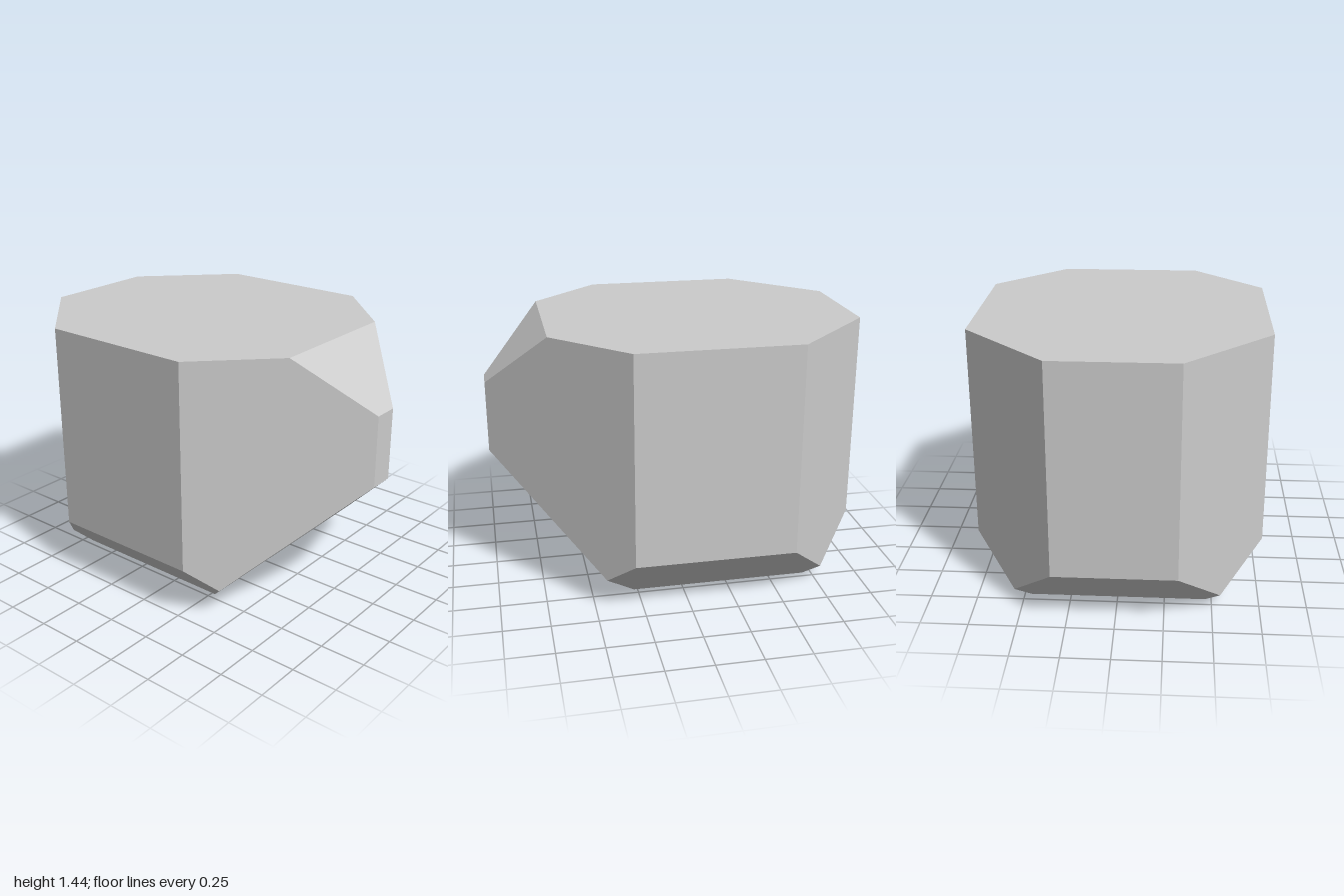
import * as THREE from 'three';
import { ConvexGeometry } from 'three/addons/geometries/ConvexGeometry.js';

// Corners of the +x half; the other half is mirrored
const halfCorners = [
  // top outline
  [0.39, 1.44, 0.68], [0.765, 1.44, 0.305], [0.765, 1.44, -0.555], [0.32, 1.44, -1],
  // narrow front facet
  [0.07, 1.12, 1], [0.07, 0.73, 1],
  // lower ends of the upright walls
  [0.765, 0.3, 0.305], [0.765, 0.3, -0.555], [0.32, 0.3, -1],
  // corners where the bottom bevels meet the diagonal walls
  [0.6325, 0.1675, 0.4375], [0.5425, 0.0775, -0.7775],
  // base
  [0.465, 0, 0.27], [0.465, 0, -0.7],
];

export function createModel() {
  const group = new THREE.Group();
  group.name = 'facetedBlock';

  const points = halfCorners.flatMap(([x, y, z]) => [
    new THREE.Vector3(x, y, z),
    new THREE.Vector3(-x, y, z),
  ]);

  // Solid bevelled block with flat facets
  const body = new THREE.Mesh(
    new ConvexGeometry(points),
    new THREE.MeshStandardMaterial({ color: 0xcccccc, flatShading: true }),
  );
  body.name = 'bevelledBody';
  group.add(body);
  return group;
}
